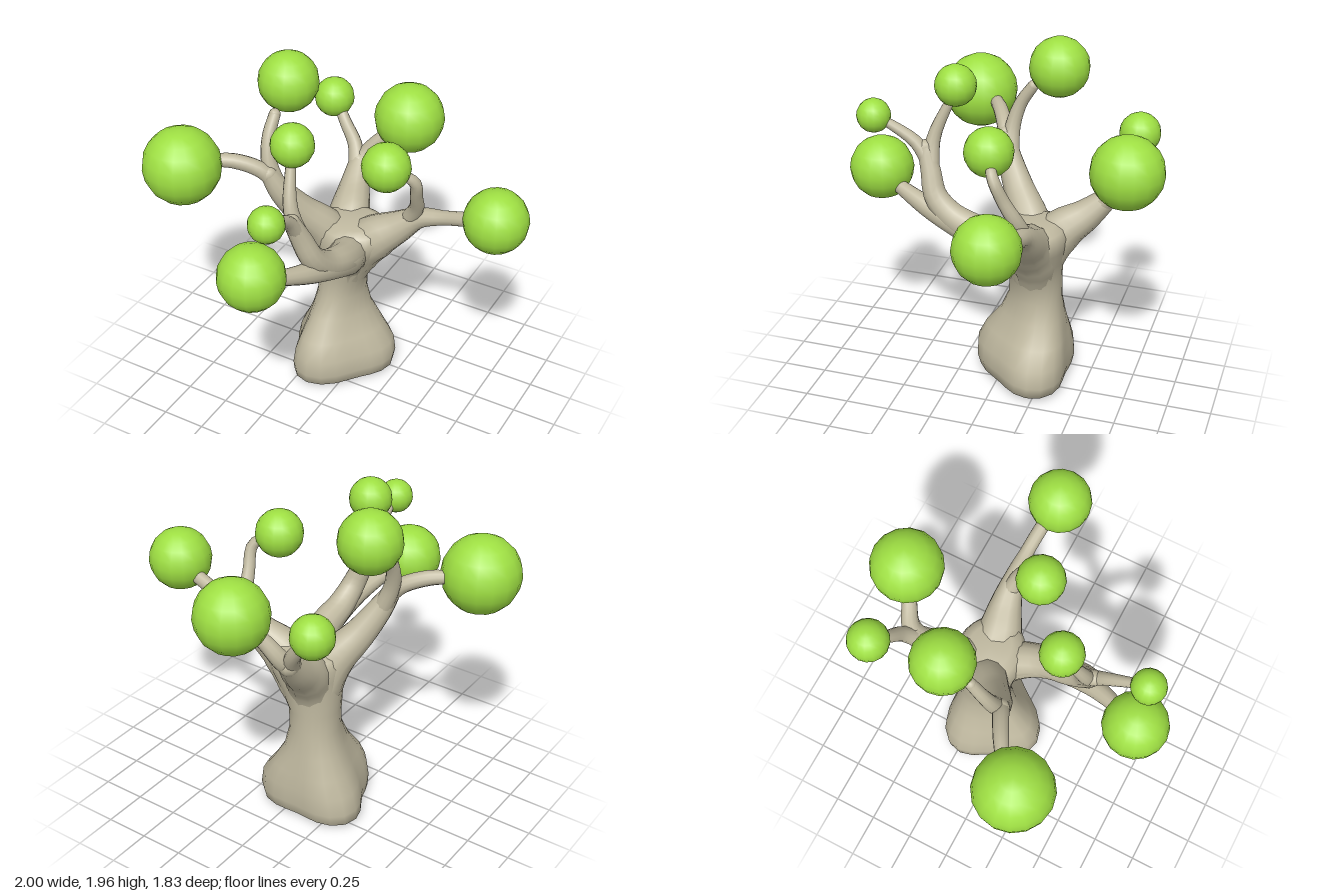
import * as THREE from 'three';
import { mergeVertices } from 'three/addons/utils/BufferGeometryUtils.js';

const bark = new THREE.MeshStandardMaterial({ color: 0xc0b9a0 });
const leaf = new THREE.MeshStandardMaterial({ color: 0x9fe043 });

// Weld the seams so that normals run smoothly round the part
function smooth(geometry) {
  geometry.deleteAttribute('uv');
  geometry.deleteAttribute('normal');
  const welded = mergeVertices(geometry, 1e-4);
  welded.computeVertexNormals();
  return welded;
}

// Tapered branch through points [x, y, z, radius]
function branch(name, points) {
  const curve = new THREE.CatmullRomCurve3(points.map(([x, y, z]) => new THREE.Vector3(x, y, z)));
  const n = points.length - 1, steps = n * 4, sides = 12;
  const geometry = new THREE.TubeGeometry(curve, steps, 1, sides);
  const pos = geometry.attributes.position, v = new THREE.Vector3();
  for (let i = 0; i <= steps; i++) {
    const u = i / steps, t = curve.getUtoTmapping(u) * n;
    const k = Math.min(Math.floor(t), n - 1);
    const r = THREE.MathUtils.lerp(points[k][3], points[k + 1][3], t - k);
    const c = curve.getPointAt(u);
    for (let j = 0; j <= sides; j++) {
      const id = i * (sides + 1) + j;
      v.fromBufferAttribute(pos, id).sub(c).multiplyScalar(r).add(c);
      pos.setXYZ(id, v.x, v.y, v.z);
    }
  }
  const mesh = new THREE.Mesh(smooth(geometry), bark);
  mesh.name = name;
  // Rounded tip
  const [x, y, z, r] = points[n];
  const tip = new THREE.Mesh(new THREE.SphereGeometry(r, 10, 8), bark);
  tip.name = name + 'Tip';
  tip.position.set(x, y, z);
  mesh.add(tip);
  return mesh;
}

// Trunk cross-sections: height, centre x, centre z, radius x, radius z, three-lobed flare
const trunkRings = [
  [0.015, -0.1, -0.15, 0, 0, 0],
  [0.008, -0.105, -0.15, 0.24, 0.23, 0.15],
  [0.035, -0.1, -0.15, 0.285, 0.265, 0.15],
  [0.1, -0.095, -0.15, 0.29, 0.28, 0.15],
  [0.2, -0.09, -0.15, 0.272, 0.275, 0.15],
  [0.3, -0.1, -0.16, 0.217, 0.245, 0.13],
  [0.42, -0.11, -0.18, 0.165, 0.19, 0.08],
  [0.55, -0.105, -0.19, 0.137, 0.155, 0.03],
  [0.68, -0.1, -0.19, 0.145, 0.15, 0],
  [0.8, -0.07, -0.185, 0.18, 0.165, 0],
  [0.9, -0.045, -0.185, 0.208, 0.187, 0],
  [0.97, -0.035, -0.19, 0.222, 0.19, 0],
  [1.02, -0.035, -0.19, 0.2, 0.17, 0],
  [1.045, -0.035, -0.19, 0.14, 0.12, 0],
  [1.045, -0.035, -0.19, 0, 0, 0],
];

function trunk() {
  const sides = 24, positions = [], index = [];
  trunkRings.forEach(([y, cx, cz, rx, rz, flare], i) => {
    for (let j = 0; j < sides; j++) {
      const a = (j / sides) * Math.PI * 2;
      const k = 1 + flare * Math.cos(3 * (a - Math.PI / 2));
      // The front root leans towards -x
      const lean = 0.35 * flare * Math.max(0, Math.sin(a)) ** 2;
      positions.push(cx - lean + rx * k * Math.cos(a), y, cz + rz * k * Math.sin(a));
      if (i === 0) continue;
      const b = (j + 1) % sides, p = (i - 1) * sides, q = i * sides;
      index.push(p + j, q + j, p + b, p + b, q + j, q + b);
    }
  });
  const geometry = new THREE.BufferGeometry();
  geometry.setAttribute('position', new THREE.Float32BufferAttribute(positions, 3));
  geometry.setIndex(index);
  const mesh = new THREE.Mesh(smooth(geometry), bark);
  mesh.name = 'trunk';
  return mesh;
}

// Limbs start inside the trunk and leave it gradually; forks start inside their limb
const branches = {
  frontLowerBranch: [[-0.08, 0.62, -0.18, 0.1], [-0.03, 0.82, -0.12, 0.11], [0.04, 0.94, 0.04, 0.1],
    [0.05, 1.0, 0.2, 0.078], [0.02, 1.07, 0.4, 0.06], [-0.05, 1.14, 0.6, 0.04]],
  frontUpperBranch: [[-0.06, 0.7, -0.18, 0.1], [0, 0.89, -0.08, 0.11], [0.05, 0.98, 0.1, 0.09],
    [0.04, 1.05, 0.26, 0.078], [0.02, 1.15, 0.36, 0.067], [-0.02, 1.28, 0.4, 0.058], [-0.05, 1.4, 0.44, 0.045]],
  frontUpperForkOut: [[-0.03, 1.32, 0.41, 0.045], [-0.04, 1.43, 0.49, 0.037], [-0.02, 1.56, 0.69, 0.024]],
  frontUpperForkIn: [[-0.02, 1.28, 0.4, 0.05], [-0.08, 1.45, 0.4, 0.04], [-0.13, 1.7, 0.3, 0.024]],
  leftBranch: [[-0.1, 0.6, -0.19, 0.11], [-0.02, 0.82, -0.2, 0.14], [0.1, 0.96, -0.2, 0.13],
    [0.22, 1.05, -0.225, 0.095], [0.35, 1.15, -0.24, 0.058], [0.5, 1.2, -0.24, 0.04], [0.72, 1.27, -0.22, 0.04]],
  leftFork: [[0.28, 1.11, -0.235, 0.05], [0.35, 1.24, -0.2, 0.042], [0.375, 1.36, -0.14, 0.035],
    [0.385, 1.48, -0.09, 0.032], [0.3, 1.55, -0.04, 0.025]],
  rightBranch: [[-0.1, 0.6, -0.19, 0.11], [-0.13, 0.82, -0.18, 0.125], [-0.18, 0.97, -0.13, 0.115],
    [-0.28, 1.12, -0.03, 0.088], [-0.36, 1.27, 0.05, 0.068], [-0.41, 1.38, 0.085, 0.048]],
  rightForkOut: [[-0.37, 1.31, 0.065, 0.05], [-0.44, 1.4, 0.1, 0.045], [-0.57, 1.46, 0.17, 0.042],
    [-0.7, 1.47, 0.25, 0.035]],
  rightForkUp: [[-0.36, 1.25, 0.045, 0.055], [-0.425, 1.42, 0.05, 0.045], [-0.45, 1.56, 0.01, 0.037],
    [-0.45, 1.67, -0.06, 0.032]],
  backBranch: [[-0.1, 0.6, -0.2, 0.11], [-0.1, 0.82, -0.235, 0.125], [-0.13, 0.96, -0.32, 0.125],
    [-0.17, 1.06, -0.45, 0.09], [-0.2, 1.17, -0.565, 0.06]],
  backForkIn: [[-0.185, 1.11, -0.5, 0.06], [-0.175, 1.2, -0.59, 0.052], [-0.09, 1.32, -0.64, 0.042],
    [0, 1.4, -0.69, 0.035]],
  backForkOut: [[-0.185, 1.11, -0.51, 0.055], [-0.25, 1.25, -0.6, 0.042], [-0.33, 1.36, -0.63, 0.035],
    [-0.4, 1.45, -0.67, 0.03]],
};

// Round leaf clumps: x, y, z, radius
const clumps = [
  [-0.785, 1.47, 0.355, 0.217], [-0.45, 1.8, -0.21, 0.17], [-0.13, 1.755, 0.285, 0.117],
  [-0.02, 1.568, 0.725, 0.096], [0.25, 1.567, -0.025, 0.134], [0.04, 1.452, -0.715, 0.202],
  [0.817, 1.316, -0.195, 0.178], [-0.43, 1.476, -0.68, 0.116], [-0.12, 1.212, 0.73, 0.182],
];

export function createModel() {
  const tree = new THREE.Group();
  tree.name = 'tree';
  tree.add(trunk());
  for (const [name, points] of Object.entries(branches)) tree.add(branch(name, points));
  clumps.forEach(([x, y, z, r], i) => {
    const clump = new THREE.Mesh(new THREE.SphereGeometry(r, 16, 10), leaf);
    clump.name = 'leafClump' + (i + 1);
    clump.position.set(x, y, z);
    tree.add(clump);
  });
  return tree;
}
